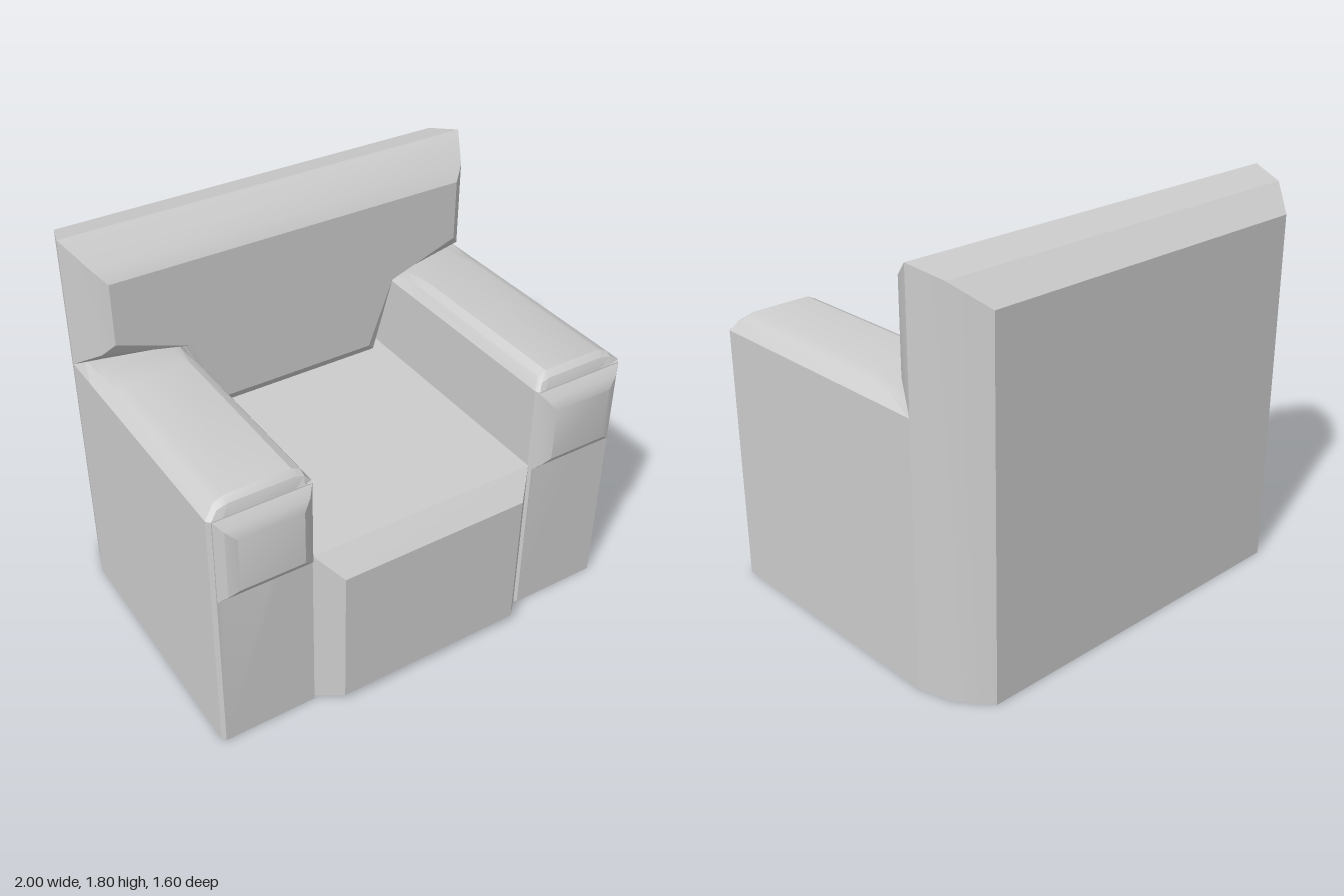
import * as THREE from 'three';
import { toCreasedNormals } from 'three/addons/utils/BufferGeometryUtils.js';

const material = new THREE.MeshStandardMaterial({ color: 0xcccccc });

// Solid through cross-sections ordered back to front, each counter-clockwise seen from +z.
function loft(name, sections) {
  const pos = [];
  const put = (points, z, i) => pos.push(points[i][0], points[i][1], z);
  for (let s = 0; s < sections.length - 1; s++) {
    const [a, b] = [sections[s], sections[s + 1]];
    const n = a.pts.length;
    for (let i = 0; i < n; i++) {
      const j = (i + 1) % n;
      put(a.pts, a.z, i); put(a.pts, a.z, j); put(b.pts, b.z, j);
      put(a.pts, a.z, i); put(b.pts, b.z, j); put(b.pts, b.z, i);
    }
  }
  const cap = ({ z, pts }, flip) => {
    const faces = THREE.ShapeUtils.triangulateShape(pts.map(p => new THREE.Vector2(...p)), []);
    for (const f of faces) for (const i of flip ? [...f].reverse() : f) put(pts, z, i);
  };
  cap(sections[0], true);
  cap(sections[sections.length - 1], false);
  const geometry = new THREE.BufferGeometry();
  geometry.setAttribute('position', new THREE.Float32BufferAttribute(pos, 3));
  const mesh = new THREE.Mesh(toCreasedNormals(geometry, 0.4), material);
  mesh.name = name;
  return mesh;
}

const rect = (z, x0, x1, y0, y1) => ({ z, pts: [[x0, y0], [x1, y0], [x1, y1], [x0, y1]] });
const symmetric = (z, half) => ({ z, pts: [...half, ...half.map(([x, y]) => [-x, y]).reverse()] });
const mirror = sections => sections.map(({ z, pts }) => ({ z, pts: pts.map(([x, y]) => [-x, y]).reverse() }));

// Arm cross-section: inner and outer x, rise of the rounded top above y = 1.2
const armSection = (z, x0, x1, rise) => ({
  z,
  pts: [[x0, 0], [x1, 0], [x1, 1.2], [x1 - 0.05, 1.2 + rise * 0.7], [x1 - 0.1, 1.2 + rise],
    [x0 + 0.07, 1.2 + rise], [x0 + 0.03, 1.2 + rise * 0.7], [x0, 1.2]],
});

export function createModel() {
  const chair = new THREE.Group();
  chair.name = 'armchair';

  // Back slab with bevelled rear edges
  chair.add(loft('backrest', [
    rect(-0.8, -0.84, 0.84, 0, 1.66),
    rect(-0.67, -0.95, 0.95, 0, 1.76),
    rect(-0.51, -1, 1, 0, 1.8),
  ]));

  // Cushion narrowing between the arms
  chair.add(loft('backCushion', [
    symmetric(-0.51, [[0.5, 0.8], [0.545, 1.2], [1, 1.2], [1, 1.8]]),
    symmetric(-0.37, [[0.45, 0.85], [0.54, 1.215], [0.92, 1.295], [0.92, 1.7]]),
    symmetric(-0.33, [[0.4, 0.905], [0.525, 1.23], [0.87, 1.35], [0.87, 1.64]]),
  ]));

  // Seat and its bevelled front panel
  chair.add(loft('seat', [
    rect(-0.51, -0.545, 0.545, 0, 0.81),
    rect(0.705, -0.545, 0.545, 0, 0.81),
  ]));
  chair.add(loft('seatFront', [
    rect(0.705, -0.545, 0.545, 0, 0.81),
    rect(0.8, -0.45, 0.45, 0.035, 0.71),
  ]));

  // Arms with padded fronts
  const arm = [
    armSection(-0.51, 0.545, 1, 0.002),
    armSection(-0.33, 0.545, 1, 0.042),
    armSection(-0.17, 0.545, 1, 0.065),
    armSection(0.67, 0.545, 1, 0.065),
    armSection(0.7, 0.545, 1, 0.045),
    armSection(0.718, 0.555, 0.985, 0.002),
  ];
  const pad = [
    rect(0.715, 0.55, 0.985, 0.79, 1.2),
    rect(0.75, 0.58, 0.95, 0.83, 1.16),
    rect(0.768, 0.615, 0.905, 0.86, 1.115),
  ];
  chair.add(loft('leftArm', arm), loft('rightArm', mirror(arm)));
  chair.add(loft('leftArmPad', pad), loft('rightArmPad', mirror(pad)));

  return chair;
}
